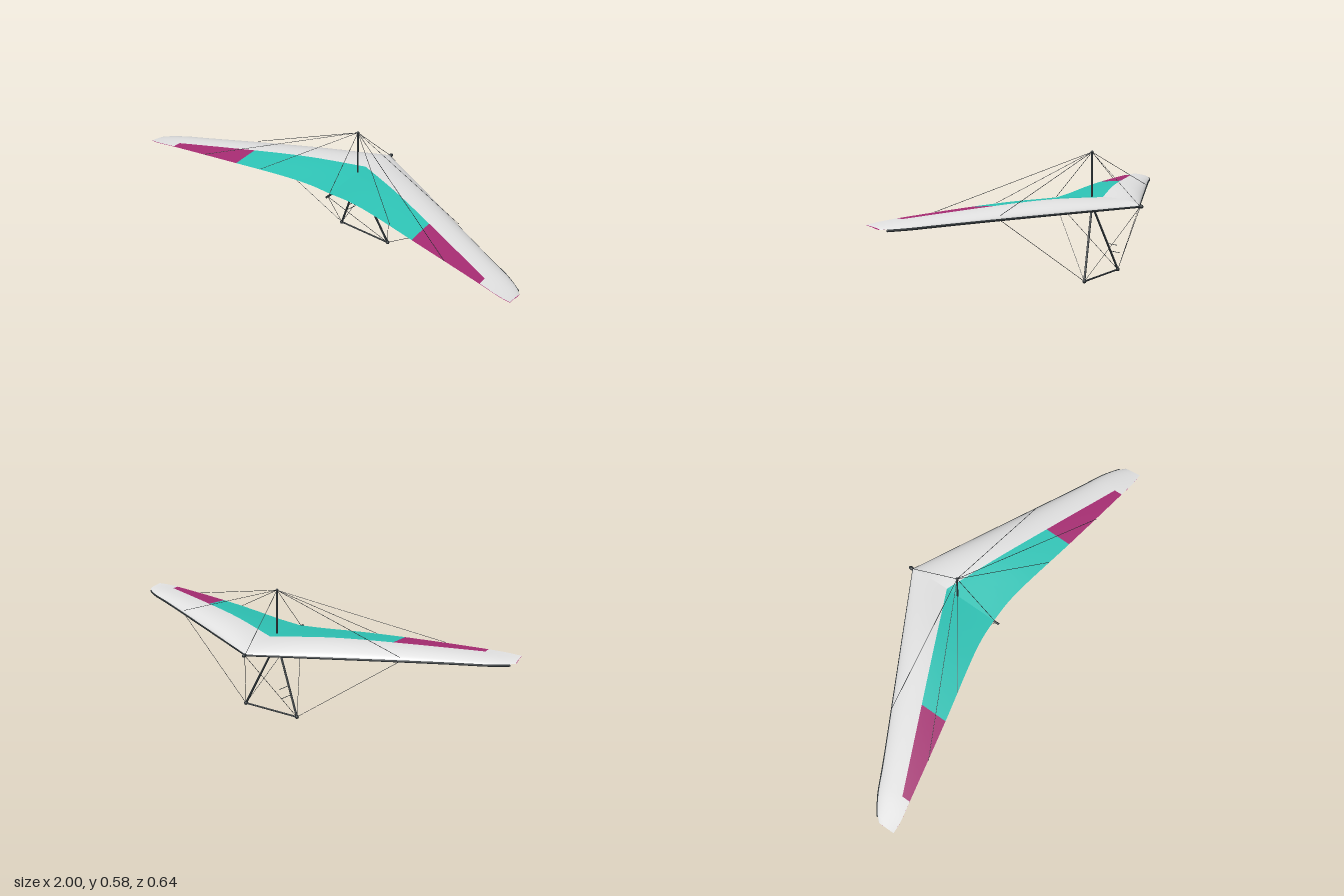
import * as THREE from 'three';

const mat = (name, color, side = THREE.FrontSide) => {
  const m = new THREE.MeshStandardMaterial({ color, side });
  m.name = name;
  return m;
};

// smooth cubic interpolation through [x, value] points
function spline(pts) {
  const slope = (a, b) => (pts[b][1] - pts[a][1]) / (pts[b][0] - pts[a][0]);
  const last = pts.length - 1;
  return (x) => {
    let i = 0;
    while (i < last - 1 && x > pts[i + 1][0]) i++;
    const h = pts[i + 1][0] - pts[i][0];
    const t = (x - pts[i][0]) / h;
    const m0 = slope(Math.max(i - 1, 0), i + 1) * h;
    const m1 = slope(i, Math.min(i + 2, last)) * h;
    const t2 = t * t, t3 = t2 * t;
    return (2 * t3 - 3 * t2 + 1) * pts[i][1] + (t3 - 2 * t2 + t) * m0
      + (3 * t2 - 2 * t3) * pts[i + 1][1] + (t3 - t2) * m1;
  };
}

// sail plan and section rules along the half span
const leadZ = spline([[0, -0.3], [0.4, -0.092], [0.8, 0.116], [0.9, 0.165], [0.97, 0.21], [1, 0.24]]);
const trailZ = spline([[0, 0.145], [0.1, 0.15], [0.2, 0.165], [0.5, 0.228], [0.86, 0.297], [0.95, 0.313], [1, 0.315]]);
const leadY = spline([[0, 0.348], [0.5, 0.346], [1, 0.341]]);
const trailY = spline([[0, 0.35], [0.12, 0.357], [0.28, 0.363], [0.5, 0.364], [0.86, 0.359], [1, 0.352]]);
const camber = spline([[0, 0.025], [0.25, 0.033], [0.5, 0.027], [0.86, 0.012], [1, 0.003]]);
const belly = spline([[0, 0.02], [0.3, 0.011], [0.86, 0.005], [1, 0.002]]);

// point on the sail: x across, u from leading (0) to trailing edge (1)
function sailPoint(x, u, upper) {
  const chordY = THREE.MathUtils.lerp(leadY(x), trailY(x), u);
  const top = chordY + camber(x) * Math.sin(Math.PI * Math.pow(u, 0.6));
  let y = top;
  if (!upper) {
    const low = chordY - belly(x) * Math.sin(Math.PI * Math.pow(Math.min(u / 0.6, 1), 0.75));
    y = THREE.MathUtils.lerp(low, top - 0.002, THREE.MathUtils.smoothstep(u, 0.4, 0.78));
  }
  return new THREE.Vector3(x, y, THREE.MathUtils.lerp(leadZ(x), trailZ(x), u));
}

// chord fraction of the colour seam running parallel to the leading edge
const seam = (z0, k) => (x) => (z0 + k * x - leadZ(x)) / (trailZ(x) - leadZ(x));
const front = () => 0, back = () => 1;

// panel of the sail between two stations and two chord fractions
function sailPanel(name, material, mirror, upper, x0, x1, uStart, uEnd) {
  const nx = Math.max(6, Math.round((x1 - x0) * 40)), nu = 16;
  const pos = [], nor = [], idx = [];
  for (let i = 0; i <= nx; i++) {
    const x = x0 + (x1 - x0) * i / nx;
    const a = uStart(x), b = uEnd(x);
    for (let j = 0; j <= nu; j++) {
      const t = j / nu;
      const u = a + (b - a) * (a === 0 ? t * t : t);
      const p = sailPoint(x, u, upper);
      const e = 0.002;
      const du = sailPoint(x, Math.min(u + e, 1), upper).sub(sailPoint(x, Math.max(u - e, 0), upper));
      const dx = sailPoint(Math.min(x + e, 1), u, upper).sub(sailPoint(Math.max(x - e, 0), u, upper));
      const n = du.cross(dx).normalize().multiplyScalar(upper ? 1 : -1);
      pos.push(p.x * mirror, p.y, p.z);
      nor.push(n.x * mirror, n.y, n.z);
      if (i < nx && j < nu) {
        const q = i * (nu + 1) + j, r = q + nu + 1;
        if (upper === (mirror > 0)) idx.push(q, q + 1, r, q + 1, r + 1, r);
        else idx.push(q, r, q + 1, q + 1, r, r + 1);
      }
    }
  }
  const g = new THREE.BufferGeometry();
  g.setAttribute('position', new THREE.Float32BufferAttribute(pos, 3));
  g.setAttribute('normal', new THREE.Float32BufferAttribute(nor, 3));
  g.setIndex(idx);
  const m = new THREE.Mesh(g, material);
  m.name = name;
  return m;
}

// straight rod between two points
function rod(name, material, a, b, r, sides = 12) {
  const p = new THREE.Vector3(...a), q = new THREE.Vector3(...b);
  const d = q.clone().sub(p);
  const m = new THREE.Mesh(new THREE.CylinderGeometry(r, r, d.length(), sides), material);
  m.position.copy(p).add(q).multiplyScalar(0.5);
  m.quaternion.setFromUnitVectors(new THREE.Vector3(0, 1, 0), d.normalize());
  m.name = name;
  return m;
}

function ball(name, material, p, r) {
  const m = new THREE.Mesh(new THREE.SphereGeometry(r, 14, 10), material);
  m.position.set(...p);
  m.name = name;
  return m;
}

export function createModel() {
  const model = new THREE.Group();
  model.name = 'hangGlider';
  const white = mat('sail white', 0xe2e2e2, THREE.DoubleSide);
  const teal = mat('sail teal', 0x2ec4b6, THREE.DoubleSide);
  const magenta = mat('sail magenta', 0xa62c72, THREE.DoubleSide);
  const tube = mat('frame black', 0x262c2f);
  const cable = mat('wire dark', 0x24272a);

  const upSeam = seam(-0.11, 0.43), lowSeam = seam(-0.13, 0.4), lowPanelSeam = seam(-0.11, 0.42);
  const post = [0, 0.572, -0.052], apex = [0, 0.332, -0.052];
  const nose = [0, 0.346, -0.305], tail = [0, 0.341, 0.16];

  for (const s of [1, -1]) {
    const side = s > 0 ? 'left' : 'right';
    const wing = new THREE.Group();
    wing.name = side + 'Wing';
    const panel = (name, ...rest) => wing.add(sailPanel(name, rest[0], s, ...rest.slice(1)));

    // upper skin
    panel('upperInnerFront', white, true, 0, 0.5, front, upSeam);
    panel('upperInnerRear', teal, true, 0, 0.5, upSeam, back);
    panel('upperOuterFront', white, true, 0.5, 0.86, front, upSeam);
    panel('upperOuterRear', magenta, true, 0.5, 0.86, upSeam, back);
    panel('upperTip', white, true, 0.86, 1, front, back);
    // lower skin
    panel('lowerInnerFront', white, false, 0, 0.5, front, lowSeam);
    panel('lowerInnerRear', teal, false, 0, 0.5, lowSeam, back);
    panel('lowerOuterFront', white, false, 0.5, 0.86, front, lowPanelSeam);
    panel('lowerOuterRear', magenta, false, 0.5, 0.86, lowPanelSeam, back);
    panel('lowerTip', magenta, false, 0.86, 1, front, back);

    // leading edge spar, peeking out under the nose of the sail
    const path = [];
    for (let i = 0; i <= 14; i++) {
      const x = 0.98 * i / 14;
      path.push(new THREE.Vector3(s * x, leadY(x) - 0.003 - 0.002 * x, leadZ(x) + 0.003 - 0.004 * x));
    }
    const spar = new THREE.Mesh(
      new THREE.TubeGeometry(new THREE.CatmullRomCurve3(path), 50, 0.005, 10), tube);
    spar.name = 'leadingEdgeSpar';
    wing.add(spar, ball('sparEnd', tube, path[14].toArray(), 0.005));
    model.add(wing);

    // control frame side
    const corner = [s * 0.14, 0.012, -0.105];
    model.add(rod(side + 'Upright', tube, apex, corner, 0.005));
    model.add(ball(side + 'Corner', tube, corner, 0.009));

    // upper and lower rigging
    const brace = [s * 0.58, 0.352, 0.004];
    const wires = [
      [post, [brace[0], 0.358, brace[2]]],
      [post, [s * 0.68, 0.363, 0.265]],
      [post, [s * 0.37, 0.366, 0.2]],
      [corner, [brace[0], 0.34, brace[2]]],
      [corner, nose],
      [corner, tail],
    ];
    for (const [a, b] of wires) model.add(rod(side + 'Wire', cable, a, b, 0.0011, 6));
  }
  model.add(rod('frontUpperWire', cable, post, nose, 0.0011, 6));
  model.add(rod('rearUpperWire', cable, post, [0, 0.35, 0.15], 0.0011, 6));

  // keel, nose fitting and king post
  model.add(rod('keel', tube, nose, [0, 0.342, 0.172], 0.005));
  const noseCap = ball('noseFitting', tube, [0, 0.347, -0.308], 0.009);
  noseCap.scale.set(1, 1, 1.4);
  model.add(noseCap);
  model.add(rod('kingPost', tube, [0, 0.335, -0.052], post, 0.004));
  model.add(ball('kingPostCap', tube, post, 0.0065));

  // base bar, apex bracket and hang loop
  model.add(rod('baseBar', tube, [-0.14, 0.012, -0.105], [0.14, 0.012, -0.105], 0.004));
  model.add(ball('apexBracket', tube, [0, 0.326, -0.052], 0.008));
  const loop = new THREE.Mesh(new THREE.TorusGeometry(0.009, 0.0016, 8, 20), magenta);
  loop.name = 'hangLoop';
  loop.position.set(0, 0.33, -0.052);
  loop.rotation.y = Math.PI / 2;
  model.add(loop);

  // instrument arms on the right upright
  for (const [x, y, z] of [[-0.082, 0.144, -0.083], [-0.099, 0.106, -0.089]])
    model.add(rod('instrumentArm', tube, [x, y, z], [x + 0.012, y, z - 0.06], 0.0015, 8));

  return model;
}
